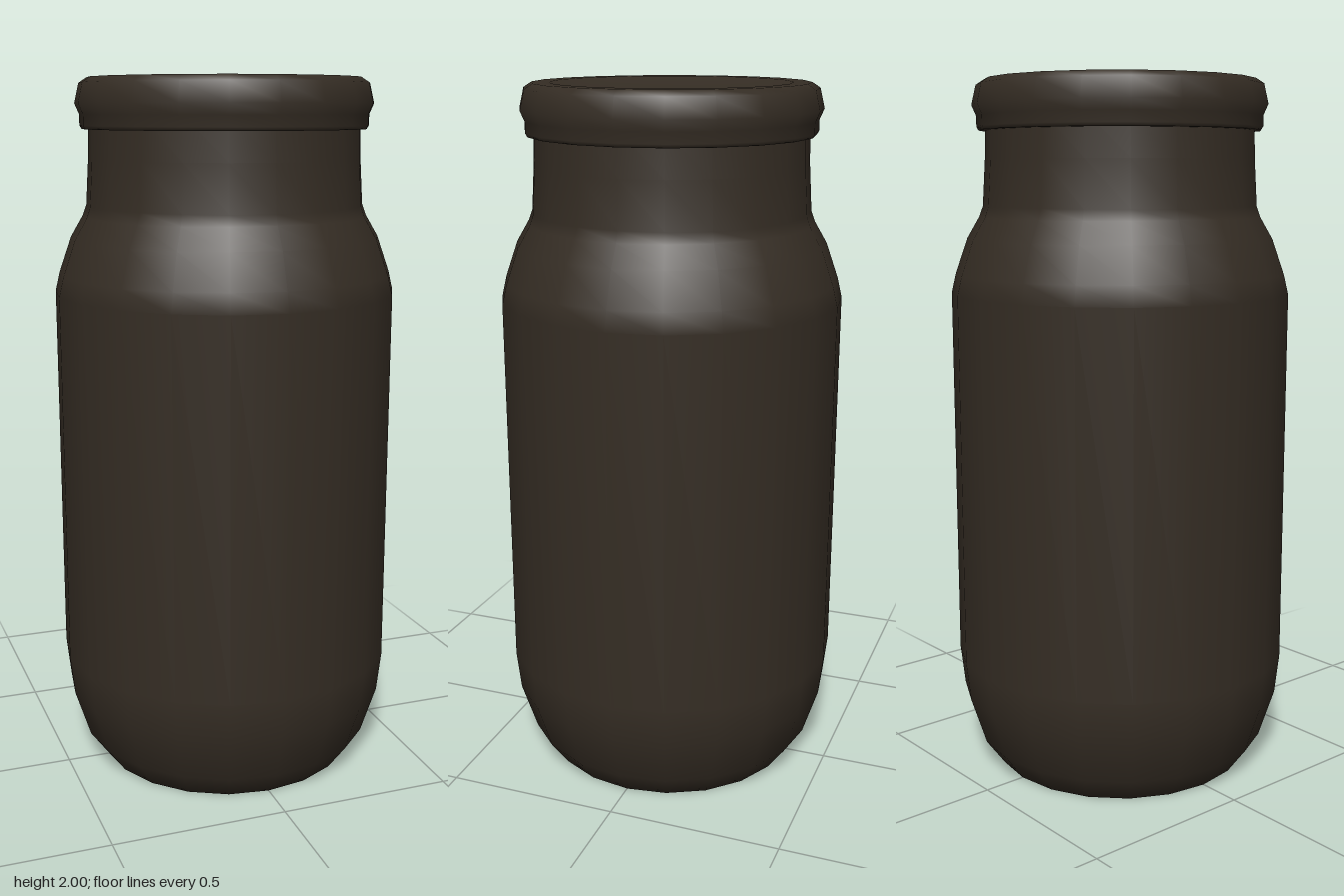
import * as THREE from 'three';

const SIDES = 20;

// Revolve a [radius, height] profile, listed from bottom to top
function turned(name, profile, material) {
  const points = profile.map(([r, y]) => new THREE.Vector2(r, y));
  const mesh = new THREE.Mesh(new THREE.LatheGeometry(points, SIDES), material);
  mesh.name = name;
  return mesh;
}

export function createModel() {
  const group = new THREE.Group();
  group.name = 'jar';
  const material = new THREE.MeshStandardMaterial({ color: 0x352d24 });

  // Closed base, rounded foot, straight wall, sloping shoulder and neck
  group.add(turned('body', [
    [0, 0], [0.375, 0], [0.43, 0.075], [0.475, 0.215], [0.488, 0.33],
    [0.488, 1.405], [0.475, 1.46], [0.44, 1.56], [0.405, 1.62], [0.394, 1.65],
    [0.386, 1.78], [0.383, 1.9],
  ], material));

  // Lid with a flat underside, skirt, bulging rim and shallow dished top
  group.add(turned('lid', [
    [0.37, 1.86], [0.402, 1.86], [0.408, 1.87], [0.408, 1.9], [0.421, 1.93],
    [0.408, 1.985], [0.385, 2], [0.335, 2], [0.28, 1.97], [0, 1.97],
  ], material));

  return group;
}
